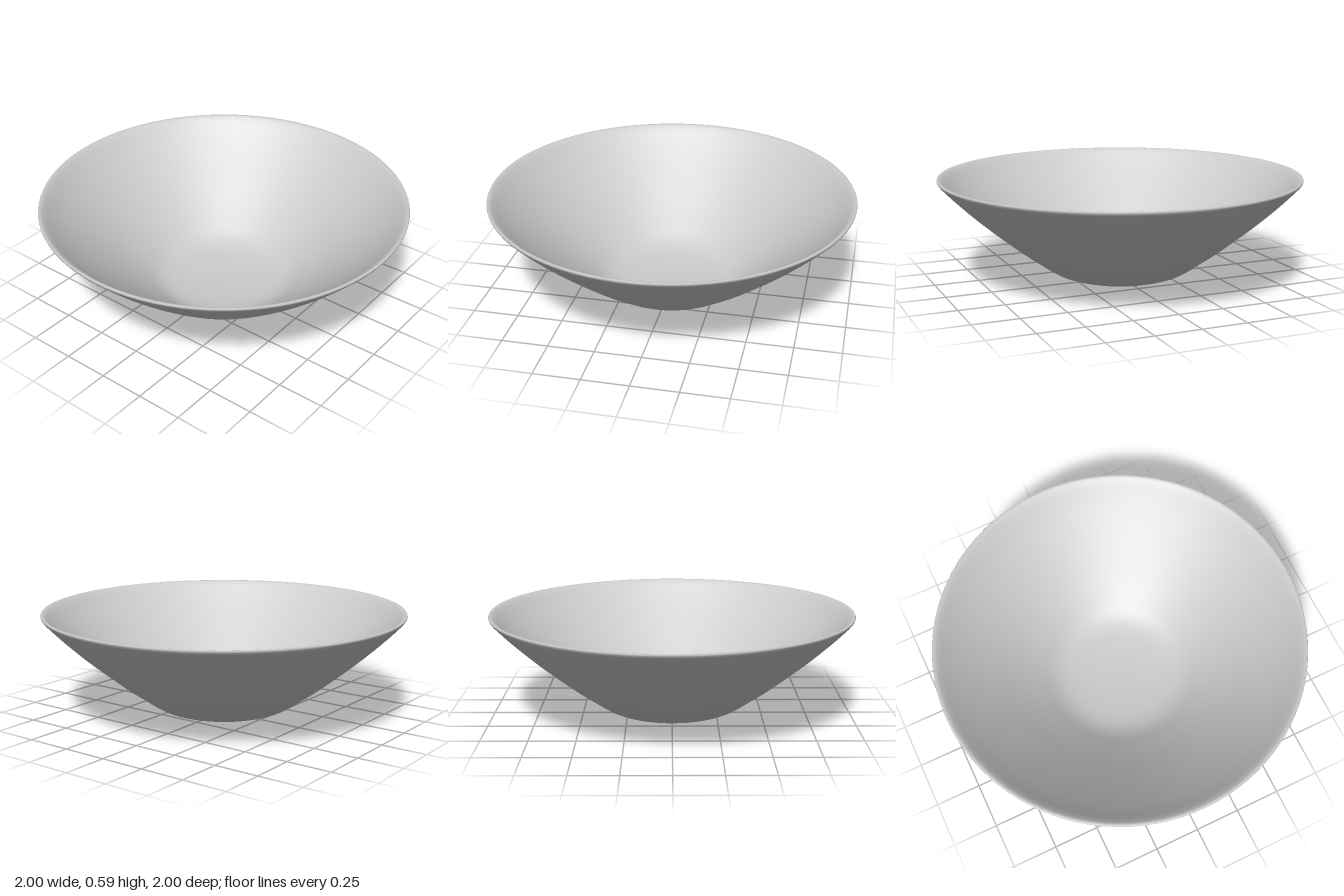
import * as THREE from 'three';

const points = (list) => list.map(([r, y]) => new THREE.Vector2(r, y));

export function createModel() {
  const group = new THREE.Group();
  group.name = 'bowl';
  const material = new THREE.MeshStandardMaterial({ color: 0xcccccc });

  // Outer wall, from the shallow pointed base up to the rim
  const base = points([[0, 0], [0.14, 0.011], [0.27, 0.025]]);
  const outer = new THREE.SplineCurve(points([
    [0.3, 0.032], [0.38, 0.062], [0.48, 0.13], [0.59, 0.21],
    [0.77, 0.357], [0.9, 0.475], [0.99, 0.566],
  ])).getPoints(30);

  // Thin rounded lip
  const lip = points([[0.998, 0.577], [1, 0.584], [0.997, 0.59], [0.985, 0.588], [0.974, 0.58]]);

  // Inner wall, down to a gently dished floor
  const inner = new THREE.SplineCurve(points([
    [0.96, 0.568], [0.88, 0.49], [0.75, 0.375], [0.58, 0.235],
    [0.46, 0.145], [0.37, 0.085], [0.28, 0.055], [0.14, 0.04], [0, 0.035],
  ])).getPoints(36);
  inner[inner.length - 1].x = 0;

  const body = new THREE.Mesh(
    new THREE.LatheGeometry([...base, ...outer, ...lip, ...inner], 96),
    material
  );
  body.name = 'bowlBody';
  group.add(body);
  return group;
}
